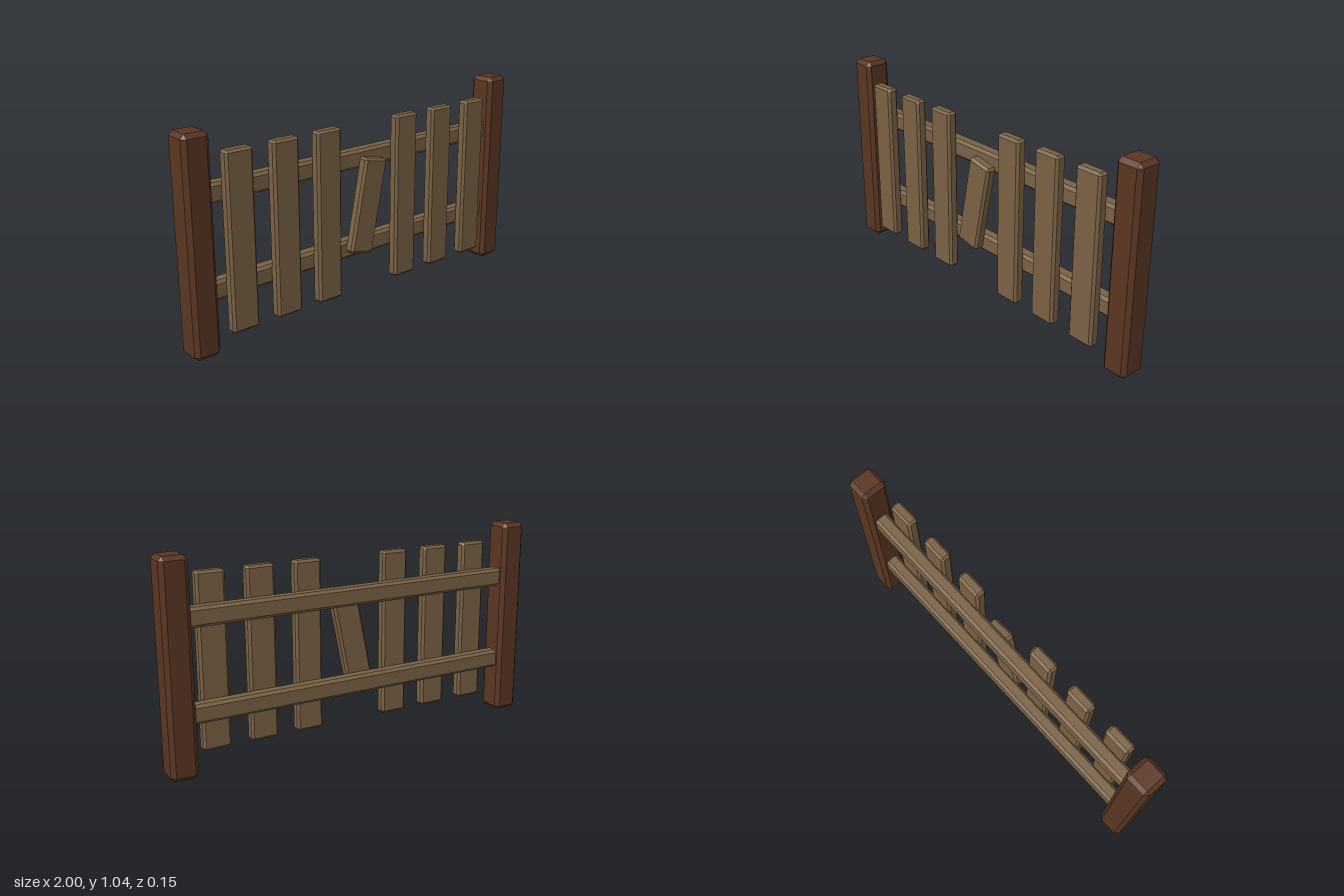
import * as THREE from 'three';
import { ConvexGeometry } from 'three/addons/geometries/ConvexGeometry.js';

// Box with every edge cut at 45 degrees
function chamferBox(w, h, d, c) {
  const half = [w / 2, h / 2, d / 2];
  const points = [];
  for (const sx of [-1, 1]) for (const sy of [-1, 1]) for (const sz of [-1, 1]) {
    for (let axis = 0; axis < 3; axis++) {
      // Each corner becomes three points, one per neighbouring face
      const p = half.map((v, i) => (i === axis ? v : v - c));
      points.push(new THREE.Vector3(p[0] * sx, p[1] * sy, p[2] * sz));
    }
  }
  return new ConvexGeometry(points);
}

export function createModel() {
  const fence = new THREE.Group();
  fence.name = 'picketFence';
  const darkWood = new THREE.MeshStandardMaterial({ color: 0x5a3622, flatShading: true });
  const lightWood = new THREE.MeshStandardMaterial({ color: 0x7a6244, flatShading: true });

  const add = (name, geometry, material, x, y, z) => {
    const mesh = new THREE.Mesh(geometry, material);
    mesh.name = name;
    mesh.position.set(x, y, z);
    fence.add(mesh);
    return mesh;
  };

  // End posts
  const post = chamferBox(0.133, 1.037, 0.136, 0.02);
  add('rightPost', post, darkWood, -0.9335, 0.5185, -0.006);
  add('leftPost', post, darkWood, 0.9335, 0.5185, -0.006);

  // Horizontal rails, let into the posts
  const rail = chamferBox(1.8, 0.094, 0.072, 0.014);
  add('lowerRail', rail, lightWood, 0, 0.295, -0.01);
  add('upperRail', rail, lightWood, 0, 0.748, -0.01);

  // Upright pickets, three on each side of the gap
  const picket = chamferBox(0.142, 0.857, 0.057, 0.012);
  for (const side of [-1, 1]) {
    for (let i = 1; i <= 3; i++) {
      add('picket', picket, lightWood, side * i * 0.246, 0.512, 0.047);
    }
  }

  // Short broken picket hanging askew in the middle
  const broken = add('brokenPicket', chamferBox(0.142, 0.482, 0.057, 0.012), lightWood, 0, 0.513, 0.047);
  broken.rotation.z = -0.2;

  return fence;
}
